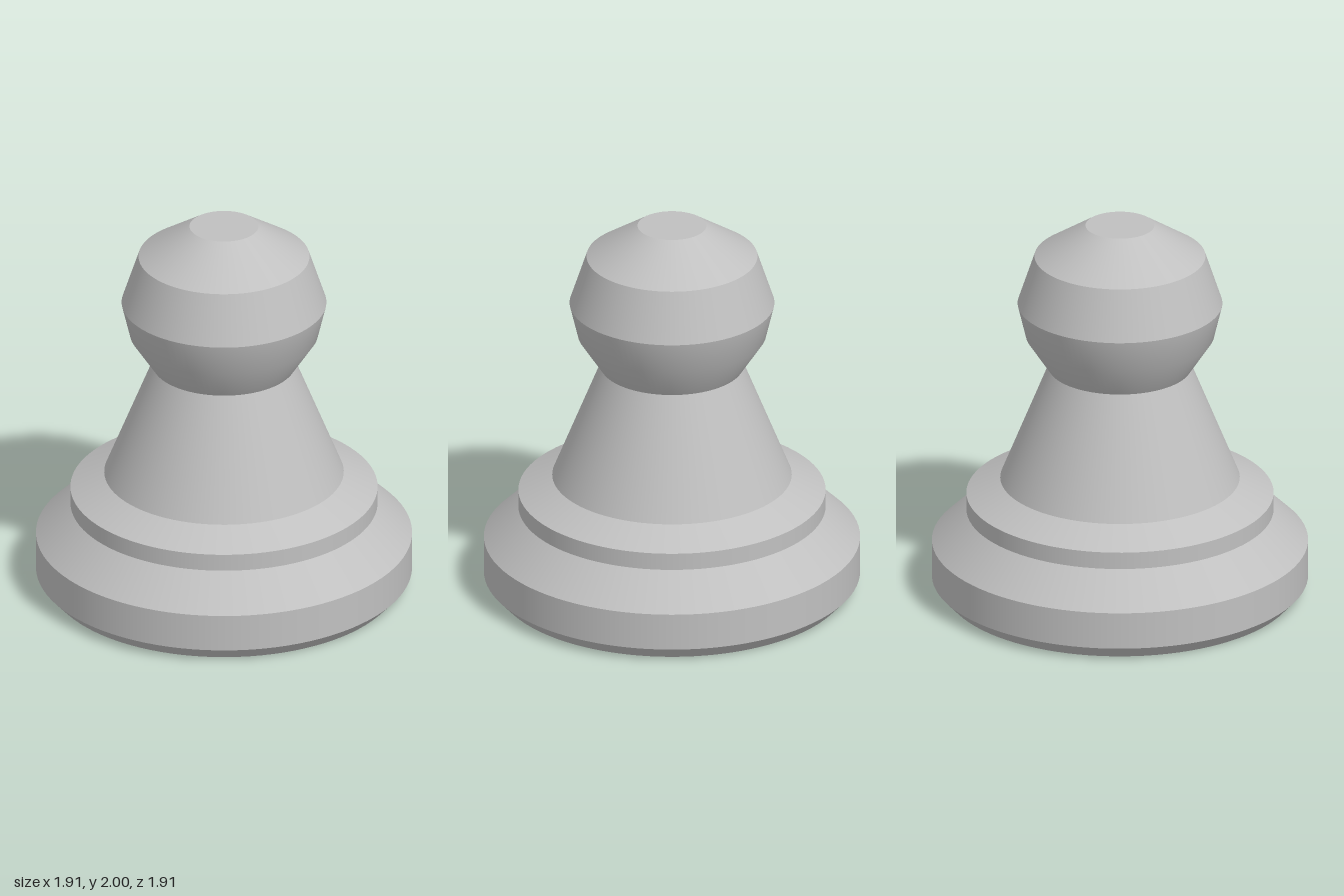
import * as THREE from 'three';

const SEGMENTS = 96;

export function createModel() {
  const grey = new THREE.MeshStandardMaterial({ color: 0xc0c0c0 });
  grey.name = 'grey';
  const pawn = new THREE.Group();
  pawn.name = 'pawn';

  // Each band is a turned profile of [radius, height], listed bottom to top;
  // separate bands keep the ridges between them sharp.
  const band = (parent, name, profile) => {
    const points = profile.map(([r, y]) => new THREE.Vector2(r, y));
    const mesh = new THREE.Mesh(new THREE.LatheGeometry(points, SEGMENTS), grey);
    mesh.name = name;
    parent.add(mesh);
  };
  const part = (name) => {
    const group = new THREE.Group();
    group.name = name;
    pawn.add(group);
    return group;
  };

  // Wide foot
  const base = part('base');
  band(base, 'underside', [[0, 0], [0.89, 0]]);
  band(base, 'footBevel', [[0.89, 0], [0.955, 0.07]]);
  band(base, 'footRim', [[0.955, 0.07], [0.955, 0.265]]);
  band(base, 'footSlope', [[0.955, 0.265], [0.78, 0.435]]);

  // Stepped collar
  const collar = part('collar');
  band(collar, 'collarRim', [[0.78, 0.435], [0.78, 0.525]]);
  band(collar, 'collarSlope', [[0.78, 0.525], [0.608, 0.61]]);

  // Tapered stem
  band(pawn, 'stem', [[0.608, 0.61], [0.363, 1.22]]);

  // Faceted head, with a softened lower half
  const head = part('head');
  band(head, 'headLower', [[0.363, 1.22], [0.478, 1.395], [0.52, 1.57]]);
  band(head, 'headUpper', [[0.52, 1.57], [0.434, 1.83]]);
  band(head, 'headSlope', [[0.434, 1.83], [0.175, 2]]);
  band(head, 'headTop', [[0.175, 2], [0, 2]]);

  return pawn;
}
